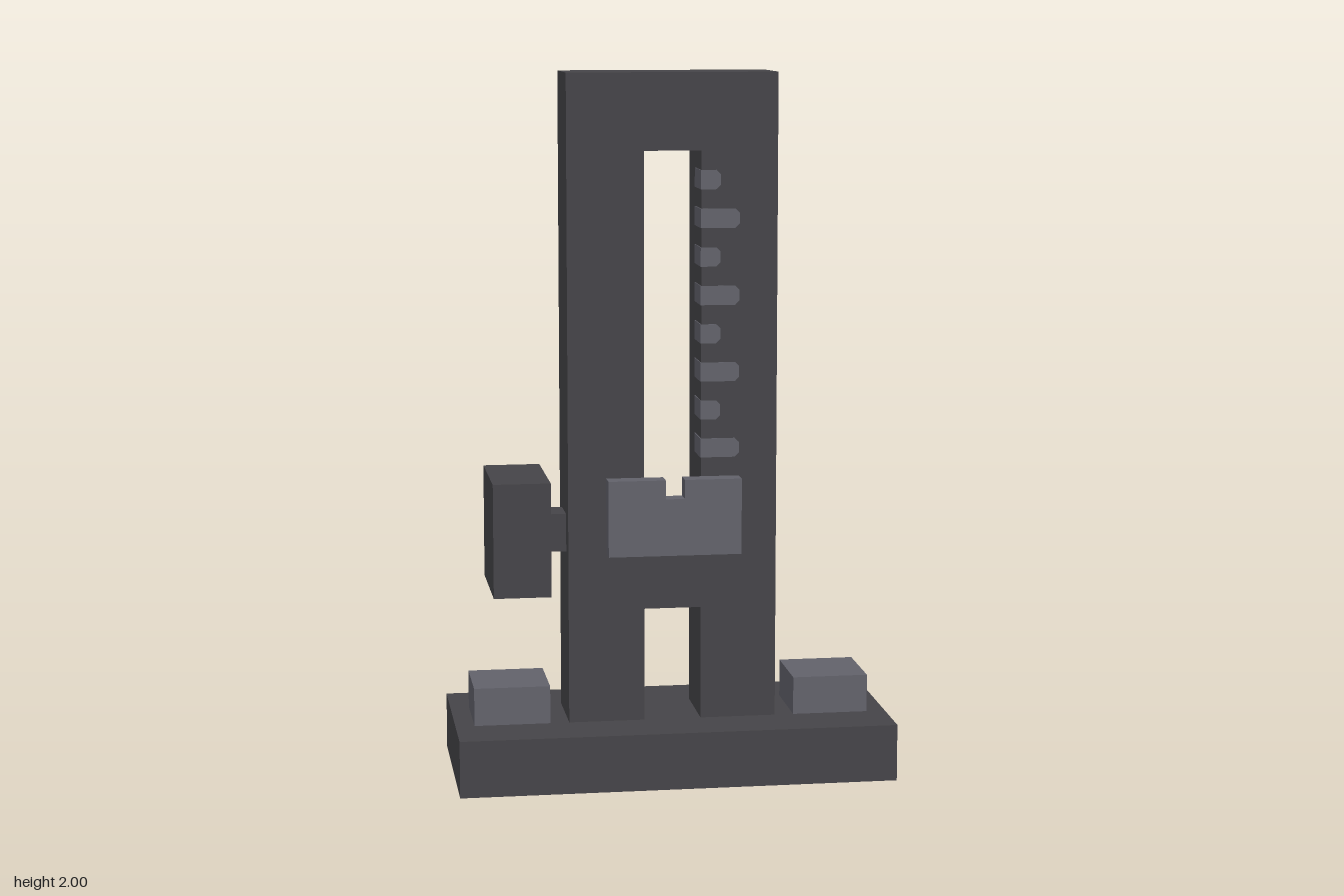
import * as THREE from 'three';

const U = 2 / 37; // grid step all parts are sized by

const dark = new THREE.MeshStandardMaterial({ color: 0x464549 });
dark.name = 'darkGrey';
const light = new THREE.MeshStandardMaterial({ color: 0x63636c });
light.name = 'lightGrey';

// Box between two corners, in grid steps
function box(name, material, [x0, y0, z0], [x1, y1, z1]) {
  const geometry = new THREE.BoxGeometry((x1 - x0) * U, (y1 - y0) * U, (z1 - z0) * U);
  const mesh = new THREE.Mesh(geometry, material);
  mesh.name = name;
  mesh.position.set((x0 + x1) / 2 * U, (y0 + y1) / 2 * U, (z0 + z1) / 2 * U);
  return mesh;
}

const path = (points) => points.map(([x, y]) => new THREE.Vector2(x * U, y * U));

// Outline extruded from z0 to z1, in grid steps
function slab(name, material, outline, z0, z1, holes = []) {
  const shape = new THREE.Shape(path(outline));
  holes.forEach((hole) => shape.holes.push(new THREE.Path(path(hole))));
  const geometry = new THREE.ExtrudeGeometry(shape, { depth: (z1 - z0) * U, bevelEnabled: false });
  const mesh = new THREE.Mesh(geometry, material);
  mesh.name = name;
  mesh.position.z = z0 * U;
  return mesh;
}

export function createModel() {
  const model = new THREE.Group();
  model.name = 'slottedStand';

  // Base with a raised pad on each side
  model.add(box('base', dark, [-11.5, 0, -5], [11.5, 3, 5]));
  model.add(box('leftPad', light, [6.5, 3, -2], [10.5, 5, 2]));
  model.add(box('rightPad', light, [-10.5, 3, -2], [-6.5, 5, 2]));

  // Upright frame: open gap between the legs, long slot above
  const outline = [
    [-5.5, 3], [-1.5, 3], [-1.5, 9], [1.5, 9], [1.5, 3], [5.5, 3], [5.5, 37], [-5.5, 37],
  ];
  const slot = [[-1.5, 13], [-1.5, 33], [1.5, 33], [1.5, 13]];
  model.add(slab('frame', dark, outline, -2, 2, [slot]));

  // Notched sight plate on the front
  model.add(slab('sightPlate', light, [
    [-3.5, 12], [3.5, 12], [3.5, 16], [0.5, 16], [0.5, 15], [-0.5, 15], [-0.5, 16], [-3.5, 16],
  ], 2, 3));

  // Side adjustment knob and its shaft
  model.add(box('knobShaft', dark, [-6.5, 12, -1], [-5.5, 14, 1]));
  model.add(box('knob', dark, [-9.5, 10, -3], [-6.5, 16, 3]));

  // Scale marks wrapping from the front face into the slot, long and short in turn
  const marks = new THREE.Group();
  marks.name = 'scaleMarks';
  for (let i = 0; i < 8; i++) {
    const y = 17 + i * 2;
    const end = i % 2 ? 2.5 : 3.5;
    const c = 0.22;
    marks.add(slab('scaleMark', light, [
      [1.46, y], [end - c, y], [end, y + c], [end, y + 1 - c], [end - c, y + 1], [1.46, y + 1],
    ], 0, 2.04));
  }
  model.add(marks);

  return model;
}
